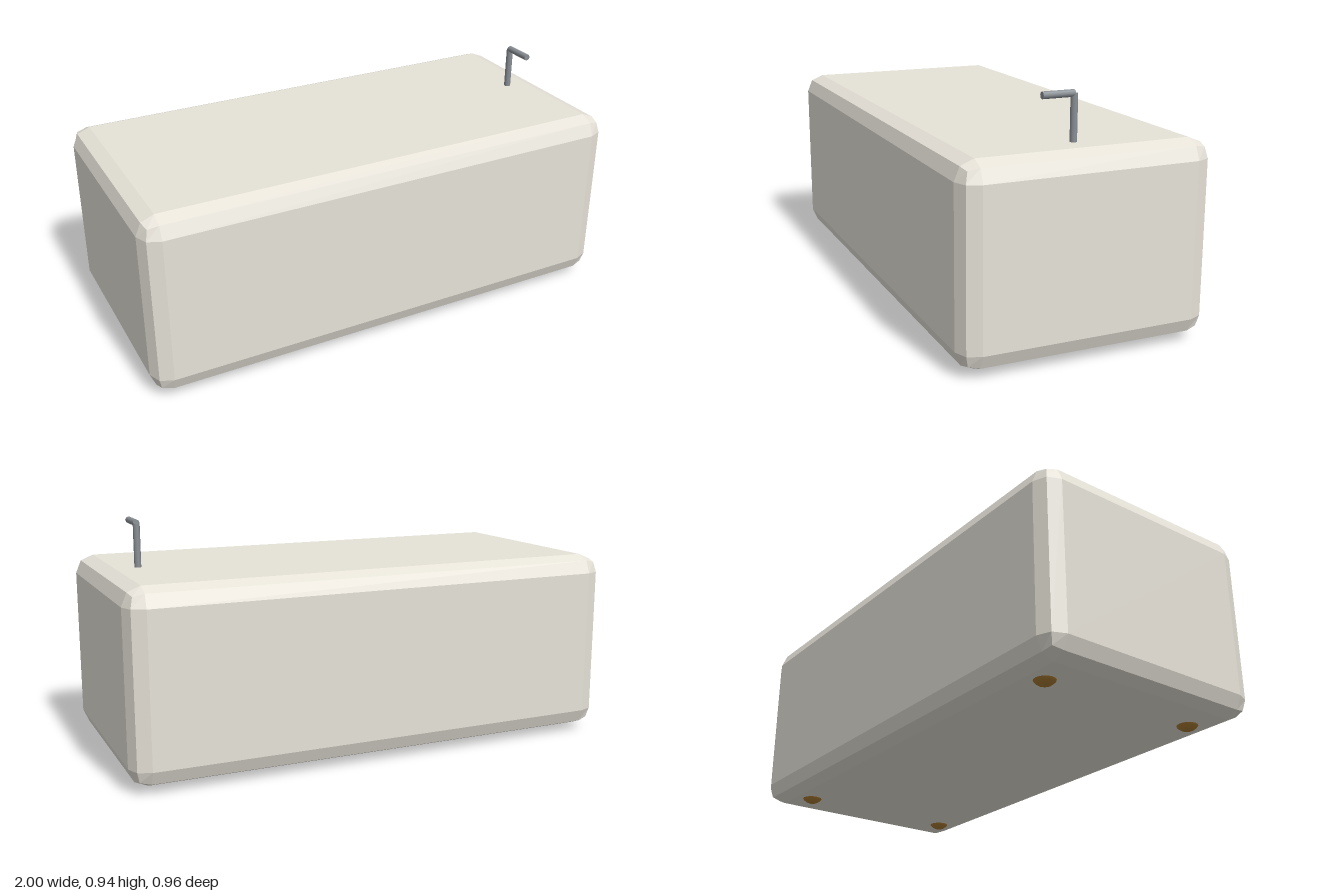
import * as THREE from 'three';
import { RoundedBoxGeometry } from 'three/addons/geometries/RoundedBoxGeometry.js';

export function createModel() {
  const group = new THREE.Group();
  const enamel = new THREE.MeshStandardMaterial({ color: 0xe6e2d8, flatShading: true });
  const metal = new THREE.MeshStandardMaterial({ color: 0x8a9096 });
  const brass = new THREE.MeshStandardMaterial({ color: 0xa87a32 });

  const add = (name, geometry, material, x, y, z) => {
    const mesh = new THREE.Mesh(geometry, material);
    mesh.name = name;
    mesh.position.set(x, y, z);
    group.add(mesh);
    return mesh;
  };

  // Tub body: closed block with two-facet rounded edges
  const bottom = 0.021, top = 0.753;
  add('tubBody', new RoundedBoxGeometry(2, top - bottom, 0.962, 1, 0.072), enamel, 0, (top + bottom) / 2, 0);

  // Tap: upright pipe and a spout towards the front
  const tapX = 0.838, tapTop = 0.923, r = 0.0135, reach = 0.123;
  add('tapPipe', new THREE.CylinderGeometry(r, r, tapTop - top + 0.01, 8), metal, tapX, (tapTop + top - 0.01) / 2, 0);
  add('tapSpout', new THREE.CylinderGeometry(r, r, reach, 8), metal, tapX, tapTop, reach / 2).rotation.x = Math.PI / 2;

  // Ball feet, mostly sunk into the underside
  const foot = new THREE.SphereGeometry(0.05, 16, 12);
  for (const sx of [-1, 1]) {
    for (const sz of [-1, 1]) add('foot', foot, brass, sx * 0.8, 0.05, sz * 0.34);
  }
  return group;
}
